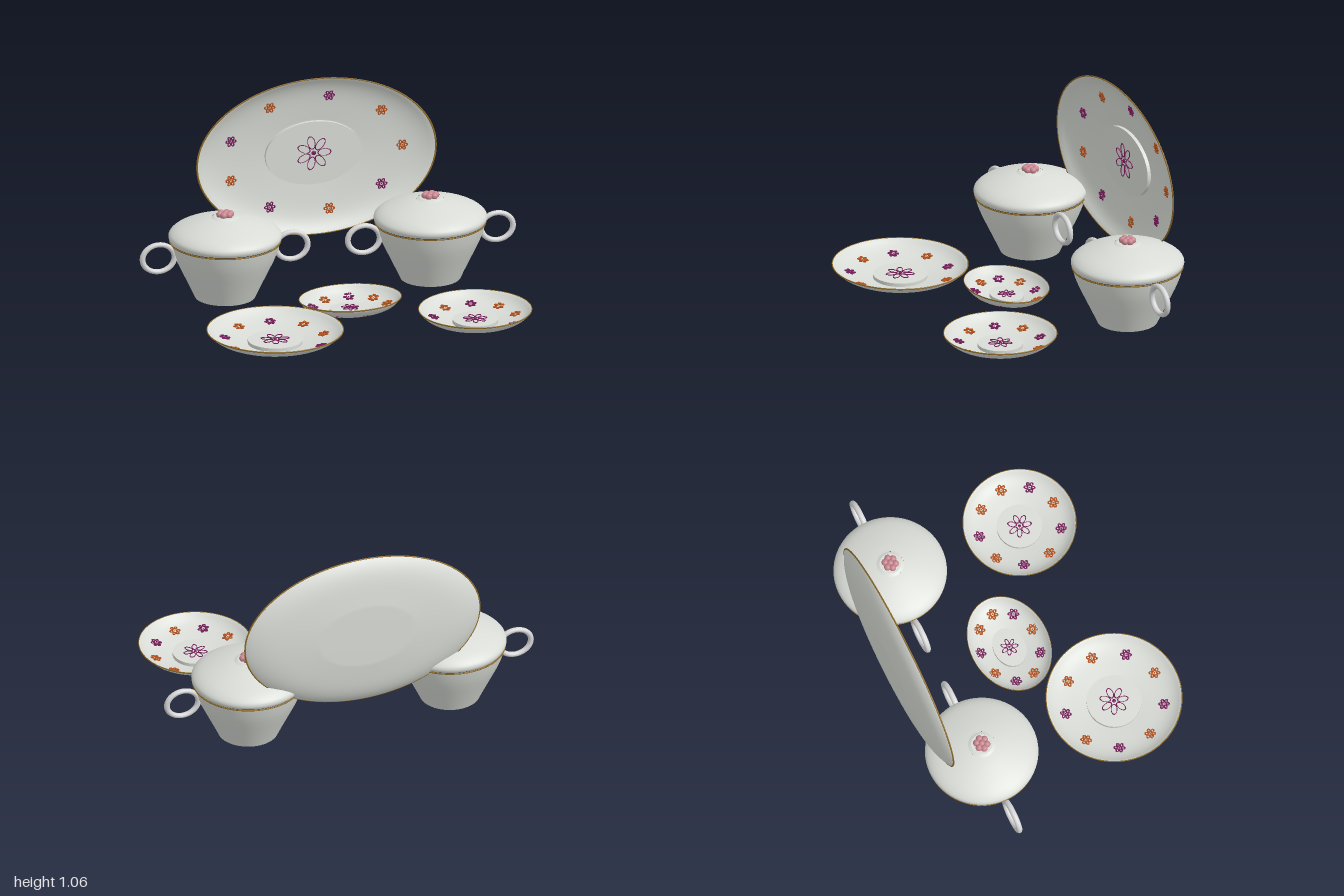
import * as THREE from 'three';

const mat = (name, color) => {
  const m = new THREE.MeshStandardMaterial({ color });
  m.name = name;
  return m;
};
const porcelain = mat('porcelain', 0xd9dcd6);
const handleWhite = mat('handle white', 0xd6d6d6);
const gold = mat('gold trim', 0x8f6a24);
const purple = mat('purple glaze', 0x7a1a5c);
const orange = mat('orange glaze', 0xb8521a);
const pink = mat('pink knob', 0xc98790);

function add(parent, name, geometry, material, x = 0, y = 0, z = 0) {
  const mesh = new THREE.Mesh(geometry, material);
  mesh.name = name;
  mesh.position.set(x, y, z);
  parent.add(mesh);
  return mesh;
}
const lathe = (pts, segments = 72) =>
  new THREE.LatheGeometry(pts.map(p => new THREE.Vector2(p[0], p[1])), segments);

// Height of the dish surface at a fraction f of its radius
const FOOT = 0.39;
function dishHeight(f) {
  const t = Math.max(0, (f - FOOT) / (1 - FOOT));
  return 0.075 * (0.45 * t + 0.55 * t ** 5);
}

// Ring of outlined petals around a small centre
function flower(name, count, size, tube, material, heightAt) {
  const g = new THREE.Group();
  g.name = name;
  for (let i = 0; i < count; i++) {
    const a = (i / count) * Math.PI * 2;
    const d = size * 0.6;
    const x = Math.cos(a) * d, y = Math.sin(a) * d;
    const len = size * 0.4 - tube;
    const petal = new THREE.TorusGeometry(len, tube, 6, 16);
    petal.scale(1, count === 7 ? 0.55 : 0.8, 0.8);
    add(g, 'petal', petal, material, x, y, heightAt(x, y)).rotation.z = a;
  }
  const centre = new THREE.SphereGeometry(size * 0.13, 8, 6);
  centre.scale(1, 1, 0.4);
  add(g, 'flowerCentre', centre, material, 0, 0, heightAt(0, 0));
  return g;
}

// Oval dish in the xy plane, opening towards +z
function dish(name, rx, ry, flowerSize) {
  const g = new THREE.Group();
  g.name = name;

  const outer = [[0, 0], [FOOT, 0]], inner = [];
  for (let i = 1; i <= 14; i++) {
    const f = FOOT + (1 - FOOT) * i / 14;
    outer.push([f, dishHeight(f)]);
  }
  for (let i = 14; i >= 0; i--) {
    const f = FOOT + (1 - FOOT) * i / 14;
    inner.push([f - 0.008, dishHeight(f) + 0.003]);
  }
  inner.push([0, 0.003]);
  const shell = lathe([...outer, ...inner]);
  shell.rotateX(Math.PI / 2).scale(rx, ry, 1);
  add(g, 'dishShell', shell, porcelain);

  // Raised disc in the middle
  const disc = new THREE.CylinderGeometry(FOOT + 0.01, FOOT + 0.01, 0.02, 64);
  disc.rotateX(Math.PI / 2).scale(rx, ry, 1);
  add(g, 'centreDisc', disc, porcelain, 0, 0, 0.0125);

  const rim = new THREE.TorusGeometry(0.994, 0.008, 8, 96);
  rim.scale(rx, ry, 0.5);
  add(g, 'goldRim', rim, gold, 0, 0, 0.075);

  g.add(flower('centreFlower', 7, flowerSize, 0.0032, purple, () => 0.0235));
  g.children[g.children.length - 1].position.z = 0.001;

  // Nine small flowers following the slope of the dish
  for (let i = 0; i < 9; i++) {
    const a = i * Math.PI * 2 / 9;
    const cx = Math.cos(a) * rx * 0.735, cy = Math.sin(a) * ry * 0.735;
    const isPurple = i > 0 && i % 2 === 0;
    const small = flower('rimFlower', 6, 0.031, 0.0042, isPurple ? purple : orange,
      (x, y) => dishHeight(Math.hypot((cx + x) / rx, (cy + y) / ry)) + 0.006);
    small.position.set(cx, cy, 0);
    g.add(small);
  }
  return g;
}

// Lidded bowl with two ring handles
function pot(name) {
  const g = new THREE.Group();
  g.name = name;
  add(g, 'bowlFoot', new THREE.CircleGeometry(0.155, 64).rotateX(Math.PI / 2), porcelain);
  add(g, 'bowl', lathe([[0.155, 0], [0.178, 0.05], [0.202, 0.1], [0.226, 0.15],
    [0.25, 0.2], [0.27, 0.25], [0.284, 0.3]]), porcelain);
  const trim = new THREE.TorusGeometry(0.284, 0.004, 8, 72).rotateX(Math.PI / 2);
  add(g, 'goldTrim', trim, gold, 0, 0.302, 0);

  const dome = new THREE.SplineCurve([[0.284, 0.308], [0.291, 0.325], [0.284, 0.346], [0.25, 0.372],
    [0.19, 0.397], [0.12, 0.418], [0.07, 0.428]].map(p => new THREE.Vector2(...p)));
  add(g, 'lid', new THREE.LatheGeometry(dome.getPoints(24), 72), porcelain);
  add(g, 'lidUnderside', new THREE.CircleGeometry(0.284, 64).rotateX(Math.PI / 2), porcelain, 0, 0.308, 0);
  add(g, 'knobBase', new THREE.CylinderGeometry(0.055, 0.07, 0.007, 40), porcelain, 0, 0.431, 0);

  // Blossom knob
  const bead = new THREE.SphereGeometry(0.018, 16, 12);
  add(g, 'knobCentre', bead, pink, 0, 0.447, 0);
  for (let i = 0; i < 6; i++) {
    const a = i * Math.PI / 3;
    add(g, 'knobPetal', bead, pink, Math.cos(a) * 0.029, 0.445, Math.sin(a) * 0.026);
  }

  for (const side of [-1, 1]) {
    const ring = new THREE.TorusGeometry(0.085, 0.015, 16, 48);
    ring.scale(1, 0.86, 1);
    add(g, 'handle', ring, handleWhite, side * 0.355, 0.24, 0);
  }
  return g;
}

export function createModel() {
  const model = new THREE.Group();
  model.name = 'tableware';

  // Upright oval platter at the back
  const platter = dish('platter', 0.64, 0.425, 0.095);
  platter.position.set(0, 0.635, -0.705);
  model.add(platter);

  // Plates lying flat: name, x, z, radii, centre flower size
  for (const [name, x, z, rx, rz, size] of [
    ['largePlate', -0.5, 0.352, 0.352, 0.35, 0.077],
    ['ovalPlate', 0, 0, 0.268, 0.205, 0.048],
    ['smallPlate', 0.57, 0.337, 0.292, 0.292, 0.065],
  ]) {
    const plate = dish(name, rx, rz, size);
    plate.rotation.x = -Math.PI / 2;
    plate.position.set(x, 0.008, z);
    model.add(plate);
  }

  const leftPot = pot('rightBowl');
  leftPot.position.set(-0.545, 0, -0.425);
  const rightPot = pot('leftBowl');
  rightPot.position.set(0.545, 0, -0.413);
  model.add(leftPot, rightPot);
  return model;
}
